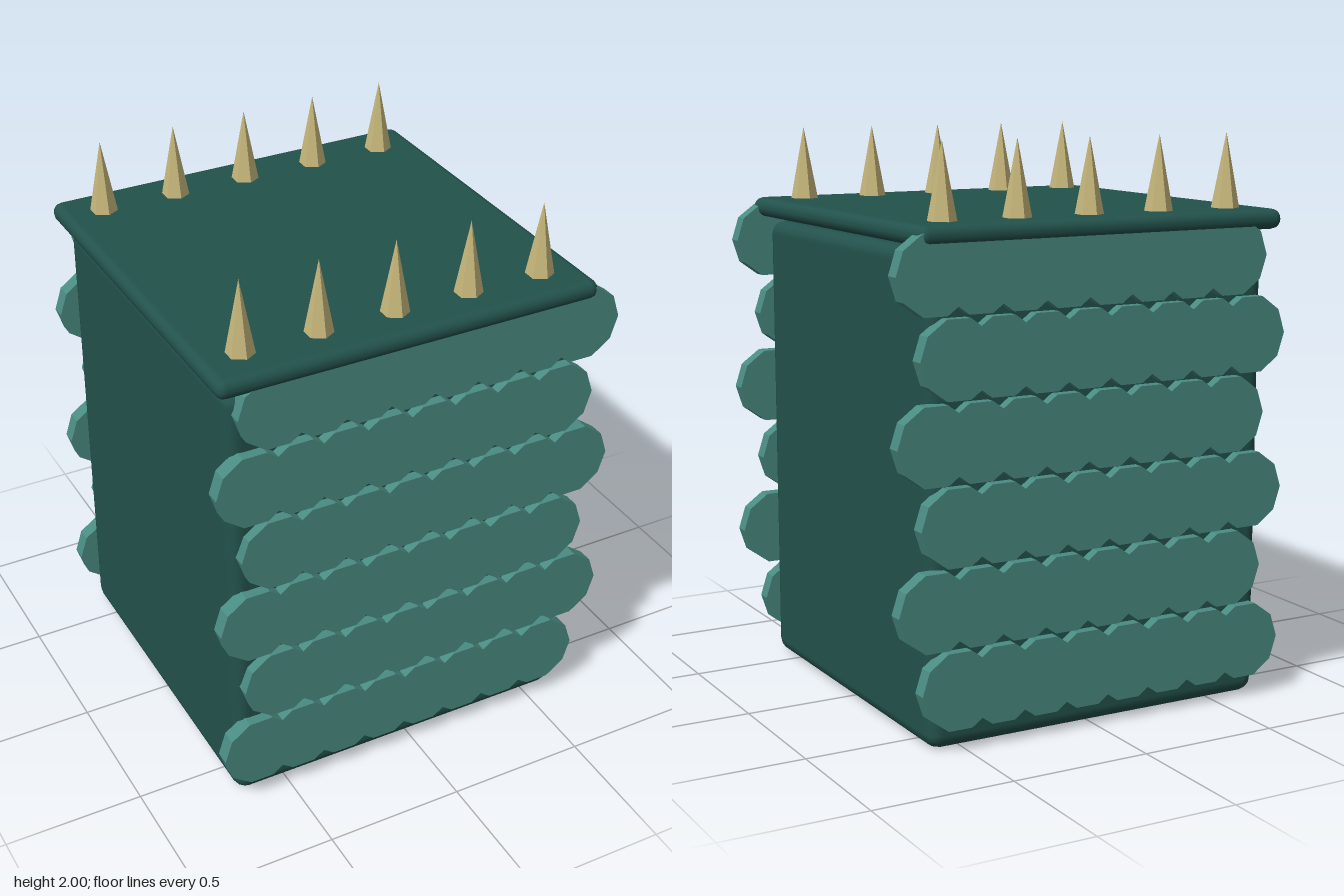
import * as THREE from 'three';
import { RoundedBoxGeometry } from 'three/addons/geometries/RoundedBoxGeometry.js';

const CX = -0.035; // block centre; the staggered scale rows overhang unevenly

function mat(name, color, flatShading = false) {
  const m = new THREE.MeshStandardMaterial({ color, flatShading });
  m.name = name;
  return m;
}

export function createModel() {
  const model = new THREE.Group();
  model.name = 'scaledBlock';
  const dark = mat('deepTeal', 0x23524c);
  const teal = mat('scaleTeal', 0x4a8c82, true);
  const horn = mat('hornYellow', 0xc8b87c, true);

  const add = (parent, name, geo, material, x, y, z) => {
    const mesh = new THREE.Mesh(geo, material);
    mesh.name = name;
    mesh.position.set(x, y, z);
    parent.add(mesh);
    return mesh;
  };

  // Main block and the slab floating just above it
  add(model, 'body', new RoundedBoxGeometry(1.31, 1.655, 1.31, 2, 0.05), dark, CX, 0.8275, 0);
  add(model, 'lid', new RoundedBoxGeometry(1.4, 0.07, 1.4, 2, 0.034), dark, CX, 1.705, 0);

  // Ten-sided scales in staggered rows on front and back
  const scaleGeo = new THREE.CylinderGeometry(0.139, 0.139, 0.055, 10, 1, false, Math.PI / 2);
  scaleGeo.rotateX(Math.PI / 2);
  for (const side of [1, -1]) {
    const scales = new THREE.Group();
    scales.name = side > 0 ? 'frontScales' : 'backScales';
    model.add(scales);
    for (let row = 0; row < 6; row++) {
      for (let i = 0; i < 8; i++) {
        const x = -0.613 + i * 0.163 + (row % 2) * 0.083;
        add(scales, 'scale', scaleGeo, teal, x, 0.21 + row * 0.275, side * 0.665);
      }
    }
  }

  // Two rows of six-sided spikes along the lid edges
  const spikeGeo = new THREE.ConeGeometry(0.05, 0.265, 6);
  for (const z of [0.553, -0.553]) {
    for (let i = 0; i < 5; i++) {
      add(model, 'spike', spikeGeo, horn, -0.589 + i * 0.276, 1.8675, z);
    }
  }
  return model;
}
